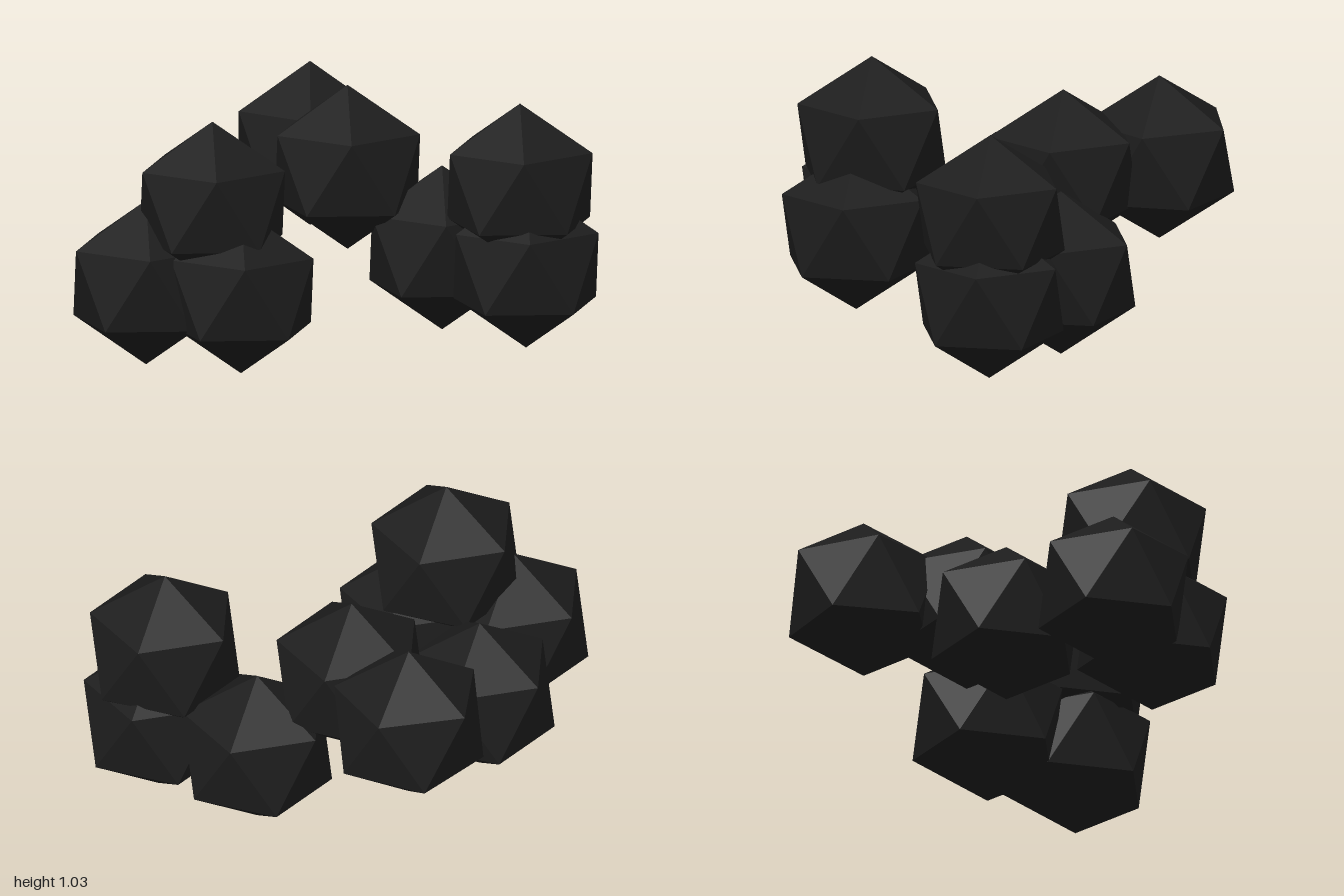
import * as THREE from 'three';

// Pile of faceted lumps: two loose groups, each with a lower layer and lumps on top
export function createModel() {
  const group = new THREE.Group();
  group.name = 'lumpPile';

  const coal = new THREE.MeshStandardMaterial({ color: 0x1c1c1c, flatShading: true });
  coal.name = 'coal black';

  // Icosahedron turned so that one corner points straight up
  const lumpShape = new THREE.IcosahedronGeometry(0.34, 0);
  lumpShape.rotateZ(-Math.atan(2 / (1 + Math.sqrt(5))));

  // x, y, z of the centre, turn about y
  const lowerLumps = [
    [-0.70, 0.355, 0.61, 0],
    [-0.30, 0.343, 0.62, 0],
    [-0.59, 0.353, 0.10, 0],
    [0.29, 0.355, -0.33, 0],
    [0.70, 0.35, -0.11, 0],
  ];
  const upperLumps = [
    [-0.43, 0.69, 0.58, 0],
    [-0.34, 0.69, -0.62, -0.05],
    [-0.09, 0.68, -0.27, 0],
    [0.675, 0.68, -0.11, 0],
  ];

  const addLayer = (name, lumps) => {
    const layer = new THREE.Group();
    layer.name = name;
    lumps.forEach(([x, y, z, turn], i) => {
      const lump = new THREE.Mesh(lumpShape, coal);
      lump.name = `${name}Lump${i + 1}`;
      lump.position.set(x, y, z);
      lump.rotation.y = turn;
      layer.add(lump);
    });
    group.add(layer);
  };
  addLayer('lower', lowerLumps);
  addLayer('upper', upperLumps);

  return group;
}
